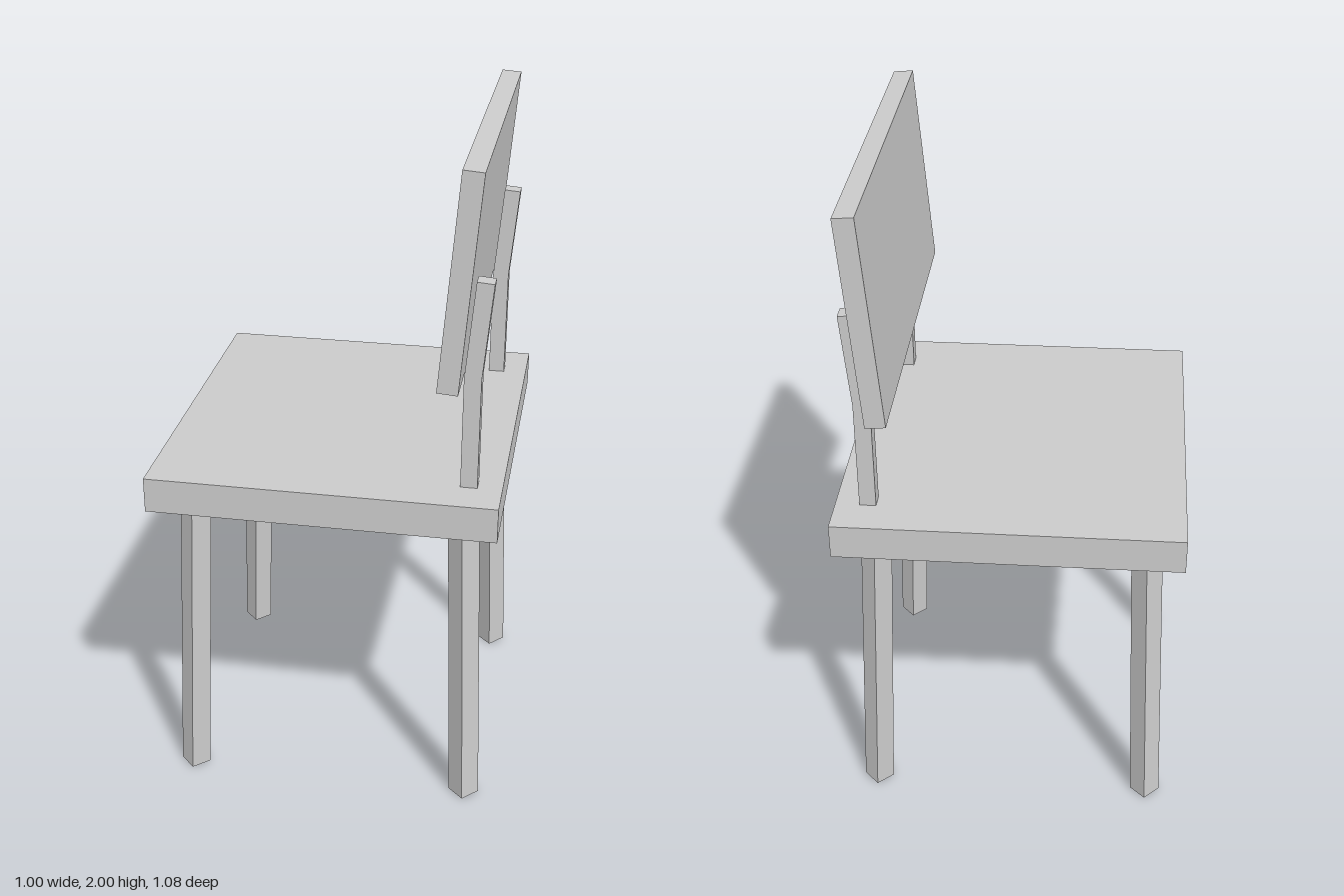
import * as THREE from 'three';

const material = new THREE.MeshStandardMaterial({ color: 0xcccccc, flatShading: true });

function addMesh(group, name, geometry) {
  const mesh = new THREE.Mesh(geometry, material);
  mesh.name = name;
  group.add(mesh);
  return mesh;
}

// Square bar turned 45 degrees, leaning out towards its corner of the seat
function addLeg(group, name, sx, sz) {
  const bottom = new THREE.Vector3(0.425 * sx, 0.002, 0.425 * sz);
  const top = new THREE.Vector3(0.392 * sx, 0.96, 0.392 * sz);
  const axis = top.clone().sub(bottom);
  const leg = addMesh(group, name, new THREE.BoxGeometry(0.064, axis.length(), 0.064));
  const yaw = new THREE.Quaternion().setFromAxisAngle(new THREE.Vector3(0, 1, 0), Math.PI / 4);
  leg.quaternion.setFromUnitVectors(new THREE.Vector3(0, 1, 0), axis.normalize()).multiply(yaw);
  leg.position.copy(bottom).add(top).multiplyScalar(0.5);
}

// Upright that bends backwards where the back panel starts
function addPost(group, name, z) {
  const profile = new THREE.Shape([
    [0.382, 1.05], [0.43, 1.05], [0.43, 1.39], [0.455, 1.664], [0.407, 1.668], [0.382, 1.39],
  ].map(([x, y]) => new THREE.Vector2(x, y)));
  const width = 0.048;
  const post = addMesh(group, name,
    new THREE.ExtrudeGeometry(profile, { depth: width, bevelEnabled: false }));
  post.position.z = z - width / 2;
}

export function createModel() {
  const chair = new THREE.Group();
  chair.name = 'chair';

  // Seat slab; the chair faces -x
  addMesh(chair, 'seat', new THREE.BoxGeometry(1, 0.104, 1.08)).position.y = 1.008;

  // Legs and back posts, mirrored across z
  for (const sz of [-1, 1]) {
    const side = sz > 0 ? 'Left' : 'Right';
    addLeg(chair, 'frontLeg' + side, -1, sz);
    addLeg(chair, 'rearLeg' + side, 1, sz);
    addPost(chair, 'backPost' + side, 0.404 * sz);
  }

  // Reclined back panel resting against the posts
  const panel = addMesh(chair, 'backPanel', new THREE.BoxGeometry(0.058, 0.608, 1.08));
  panel.position.set(0.375, 1.694, 0);
  panel.rotation.z = -0.082;

  return chair;
}
